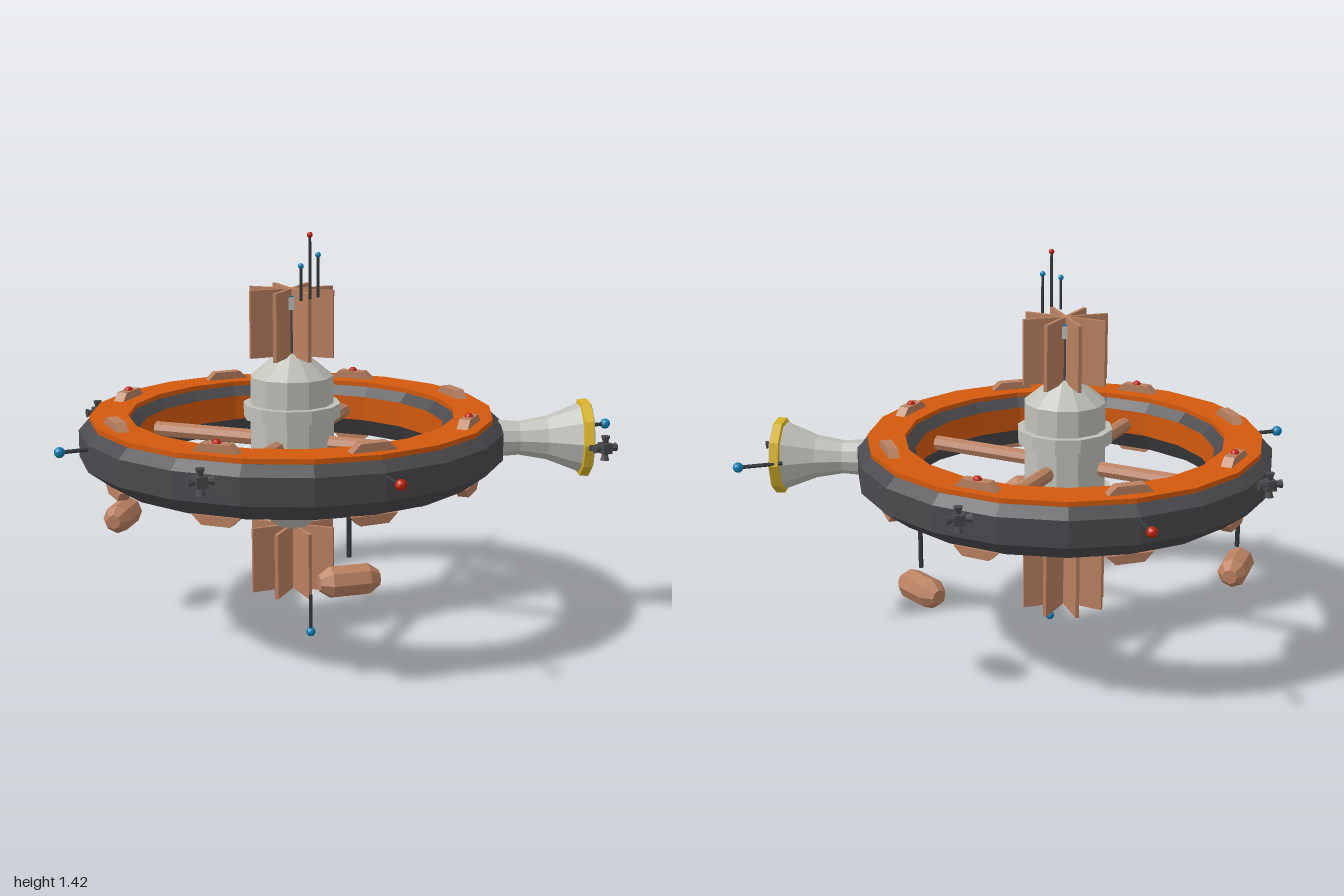
import * as THREE from 'three';

const mat = (name, color, side = THREE.FrontSide) => {
  const m = new THREE.MeshStandardMaterial({ color, flatShading: true, side });
  m.name = name;
  return m;
};
const orange = mat('orange', 0xd2590d);
const charcoal = mat('charcoal', 0x4a4a4e);
const paleGrey = mat('paleGrey', 0xbfc1b9);
const copper = mat('copper', 0xb98060);
const yellow = mat('yellow', 0xd8b428);
const blue = mat('blue', 0x0f7fb5);
const red = mat('red', 0xc0230f);
const rodDark = mat('rodDark', 0x34383d);

const MID = 0.678;        // mirror height of the hub
const RING = 0.64;        // mean ring radius

export function createModel() {
  const model = new THREE.Group();
  model.name = 'spaceStation';
  const station = new THREE.Group();
  station.name = 'station';
  station.position.x = -0.146;
  model.add(station);

  const add = (name, geo, material, x = 0, y = 0, z = 0, parent = station) => {
    const m = new THREE.Mesh(geo, material);
    m.name = name;
    m.position.set(x, y, z);
    parent.add(m);
    return m;
  };
  const lathe = (pts, sides) =>
    new THREE.LatheGeometry(pts.map(([r, y]) => new THREE.Vector2(r, y)), sides);
  const ball = (r) => new THREE.IcosahedronGeometry(r, 1);

  // rod between two points, optionally tipped with a ball
  const rod = (name, a, b, r, tip, tipR) => {
    const p = new THREE.Vector3(...a), q = new THREE.Vector3(...b);
    const m = add(name, new THREE.CylinderGeometry(r, r, p.distanceTo(q), 6), rodDark);
    m.position.copy(p).lerp(q, 0.5);
    m.quaternion.setFromUnitVectors(new THREE.Vector3(0, 1, 0), q.clone().sub(p).normalize());
    if (tip) add(name + 'Tip', ball(tipR), tip, ...b);
  };

  // habitat ring: dark hull, orange inner wall, orange deck on top
  add('ringHull', lathe([[0.535, 0.645], [0.58, 0.576], [0.655, 0.576], [0.742, 0.642],
    [0.742, 0.735], [0.705, 0.768], [0.57, 0.768], [0.535, 0.735]], 20), charcoal);
  add('ringInnerWall', lathe([[0.535, 0.735], [0.535, 0.645]], 20), orange);
  add('ringDeck', lathe([[0.57, 0.766], [0.704, 0.766], [0.704, 0.785],
    [0.57, 0.785], [0.57, 0.766]], 20), orange);

  // hub: stepped body with conical ends
  const half = [[0.147, 0], [0.147, 0.088], [0.171, 0.088], [0.171, 0.138], [0.146, 0.138],
    [0.146, 0.234], [0.055, 0.308], [0, 0.32]];
  const hub = [...half.slice(1).reverse().map(([r, y]) => [r, -y]), ...half];
  add('hub', lathe(hub, 12), paleGrey, 0, MID);

  // radiator fins above and below the hub
  for (const s of [1, -1]) {
    for (let i = 0; i < 4; i++) {
      const fin = add('radiatorFin', new THREE.BoxGeometry(0.31, 0.235, 0.013), copper, 0, MID + s * 0.422);
      fin.rotation.y = i * Math.PI / 4;
    }
  }

  // docking mast between the upper fins
  add('mastStem', new THREE.CylinderGeometry(0.027, 0.027, 0.2, 10), charcoal, 0, 1.06);
  add('mastHead', new THREE.CylinderGeometry(0.043, 0.043, 0.042, 10), paleGrey, 0, 1.168);
  add('mastCap', new THREE.CylinderGeometry(0.035, 0.035, 0.006, 10), blue, 0, 1.192);

  // four spokes
  for (let i = 0; i < 4; i++) {
    const pivot = new THREE.Group();
    pivot.name = 'spoke';
    pivot.rotation.y = Math.PI / 4 + i * Math.PI / 2;
    station.add(pivot);
    const s = add('spokeTube', new THREE.CylinderGeometry(0.028, 0.028, 0.44, 8), copper, 0, MID, 0.335, pivot);
    s.rotation.x = Math.PI / 2;
  }

  // tapered pads on both faces of the ring, with lights on the diagonals
  const trapezoid = new THREE.Shape([[-0.083, 0], [0.083, 0], [0.05, 0.032], [-0.05, 0.032]]
    .map(([x, y]) => new THREE.Vector2(x, y)));
  const padGeo = new THREE.ExtrudeGeometry(trapezoid, { depth: 0.038, bevelEnabled: false });
  padGeo.translate(0, 0, -0.019);
  for (let i = 0; i < 8; i++) {
    const pivot = new THREE.Group();
    pivot.name = 'padPair';
    pivot.rotation.y = i * Math.PI / 4;
    station.add(pivot);
    add('upperPad', padGeo, copper, 0, 0.781, RING, pivot);
    add('lowerPad', padGeo, copper, 0, 0.578, RING, pivot).rotation.z = Math.PI;
    if (i % 2) add('padLight', ball(0.016), red, 0, 0.811, RING, pivot);
  }

  // ring antennas
  rod('sideAntenna', [-0.73, 0.72, 0], [-0.837, 0.72, 0], 0.007, blue, 0.019);
  rod('frontAntenna', [0, 0.72, 0.73], [0, 0.72, 0.837], 0.007, red, 0.019);
  rod('backAntenna', [0, 0.72, -0.73], [0, 0.72, -0.837], 0.007, red, 0.019);
  // hub antennas
  rod('mastAntenna', [-0.043, 1.2, 0.18], [-0.043, 1.316, 0.18], 0.005, blue, 0.01);
  rod('mastAntenna', [0, 1.2, 0.157], [0, 1.416, 0.157], 0.005, red, 0.01);
  rod('mastAntenna', [0.042, 1.2, 0.13], [0.042, 1.344, 0.13], 0.005, blue, 0.01);
  rod('keelAntenna', [0, 0.155, 0.157], [0, 0.018, 0.157], 0.006, blue, 0.017);

  // pods under the ring, lying along its tangent
  const podGeo = lathe([[0, -0.1], [0.026, -0.1], [0.052, -0.062], [0.052, 0.062], [0.026, 0.1], [0, 0.1]], 8);
  podGeo.rotateZ(Math.PI / 2);
  for (const [x, z] of [[-0.508, -0.387], [-0.08, 0.636], [0.594, -0.24]]) {
    rod('podHanger', [x, 0.58, z], [x, 0.443, z], 0.008);
    add('pod', podGeo, copper, x, 0.365, z).rotation.y = Math.atan2(x, z);
  }

  // flared docking horn pointing out from the ring
  const horn = new THREE.Group();
  horn.name = 'dockingHorn';
  horn.position.y = 0.68;
  horn.rotation.set(0, -Math.PI / 8, -Math.PI / 2);
  station.add(horn);
  add('hornBody', lathe([[0.068, 0.68], [0.06, 0.80], [0.077, 0.897], [0.122, 1.012]], 10), paleGrey, 0, 0, 0, horn);
  add('hornBand', lathe([[0.122, 1.012], [0.136, 1.015], [0.138, 1.046]], 10), yellow, 0, 0, 0, horn);
  add('hornLip', lathe([[0.138, 1.046], [0.13, 1.05], [0.108, 1.03]], 10), paleGrey, 0, 0, 0, horn);
  add('hornHatch', lathe([[0.11, 1.03], [0, 1.03]], 10), charcoal, 0, 0, 0, horn);
  rod('hornAntenna', [0.97, 0.688, 0.275], [1.127, 0.688, 0.275], 0.007, blue, 0.019);

  // thruster clusters: a block with four flared nozzles
  const nozzle = new THREE.CylinderGeometry(0.016, 0.008, 0.026, 8);
  for (const [x, y, z] of [[-0.543, 0.72, -0.545], [0.543, 0.72, -0.545],
    [-0.543, 0.72, 0.545], [0.943, 0.675, 0.547]]) {
    const cluster = new THREE.Group();
    cluster.name = 'thrusterCluster';
    cluster.position.set(x, y, z);
    station.add(cluster);
    add('thrusterBlock', new THREE.BoxGeometry(0.036, 0.036, 0.04), charcoal, 0, 0, 0, cluster);
    for (let i = 0; i < 4; i++) {
      const a = i * Math.PI / 2;
      add('nozzle', nozzle, charcoal, -Math.sin(a) * 0.03, Math.cos(a) * 0.03, 0, cluster).rotation.z = a;
    }
    // short mount reaching inward to the hull
    const mount = add('thrusterMount', new THREE.BoxGeometry(0.02, 0.02, 0.06), charcoal,
      -Math.sign(x) * 0.018, 0, -Math.sign(z) * 0.018, cluster);
    mount.rotation.y = Math.atan2(x, z);
  }
  return model;
}
